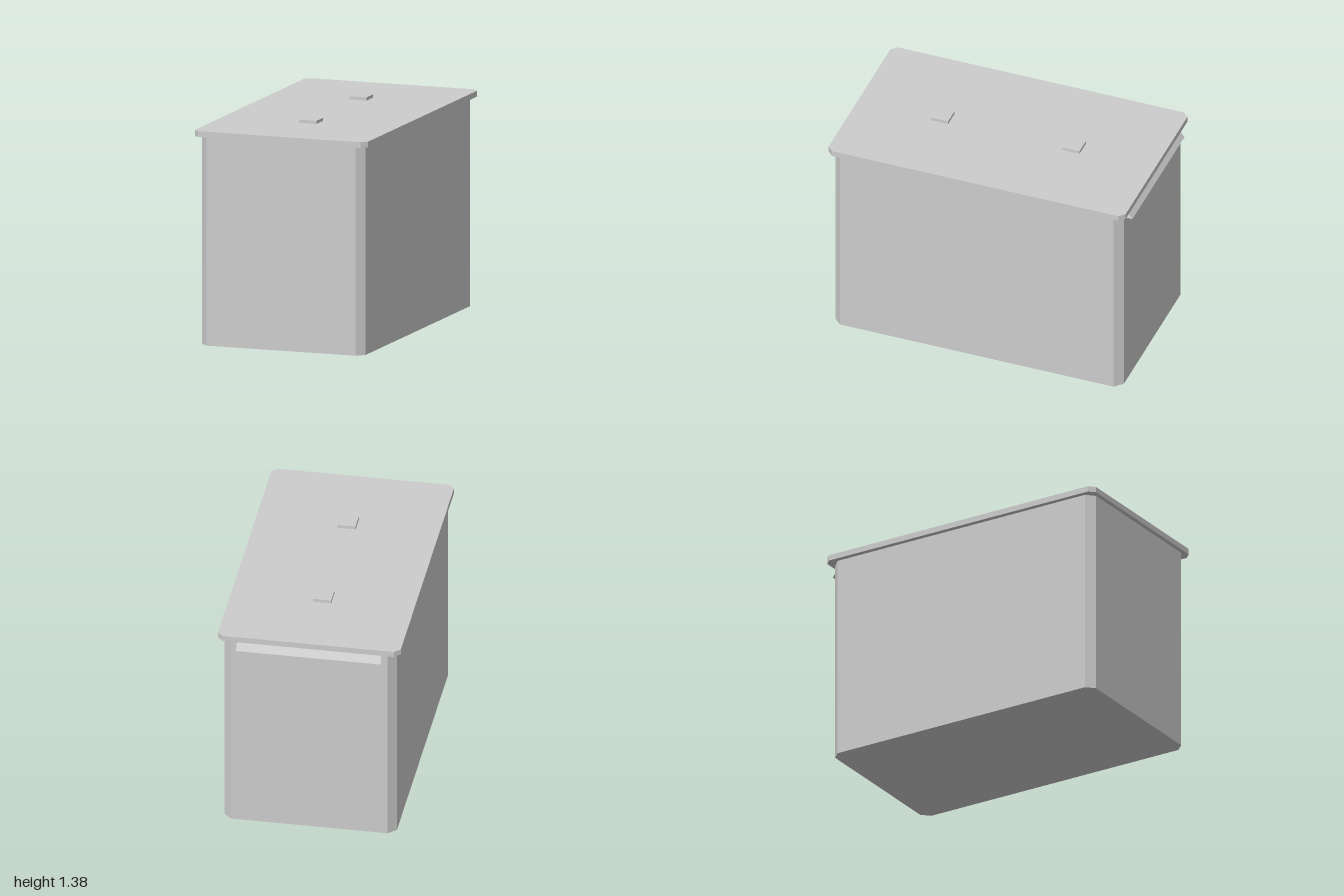
import * as THREE from 'three';

// Upright slab with a chamfered rectangular footprint
function chamferedSlab(halfX, zMin, zMax, chamfer, yMin, yMax) {
  const c = chamfer;
  const points = [
    [halfX - c, zMin], [halfX, zMin + c], [halfX, zMax - c], [halfX - c, zMax],
    [-halfX + c, zMax], [-halfX, zMax - c], [-halfX, zMin + c], [-halfX + c, zMin],
  ].map(([x, z]) => new THREE.Vector2(x, -z));
  const geometry = new THREE.ExtrudeGeometry(new THREE.Shape(points), {
    depth: yMax - yMin, bevelEnabled: false,
  });
  geometry.rotateX(-Math.PI / 2);
  geometry.translate(0, yMin, 0);
  return geometry;
}

// Folded sheet: a z/y profile swept across x, open at both ends
function foldedSheet(profile, halfX) {
  const positions = [];
  for (let i = 0; i < profile.length - 1; i++) {
    const [z0, y0] = profile[i];
    const [z1, y1] = profile[i + 1];
    const a = [halfX, y0, z0], b = [-halfX, y0, z0];
    const c = [-halfX, y1, z1], d = [halfX, y1, z1];
    positions.push(...a, ...d, ...c, ...a, ...c, ...b);
  }
  const geometry = new THREE.BufferGeometry();
  geometry.setAttribute('position', new THREE.Float32BufferAttribute(positions, 3));
  geometry.computeVertexNormals();
  return geometry;
}

export function createModel() {
  const group = new THREE.Group();
  const grey = new THREE.MeshStandardMaterial({ color: 0xcccccc, side: THREE.DoubleSide });
  grey.name = 'light grey';

  const add = (name, geometry) => {
    const mesh = new THREE.Mesh(geometry, grey);
    mesh.name = name;
    group.add(mesh);
    return mesh;
  };

  // Tall box and its overhanging lid
  add('body', chamferedSlab(0.548, -0.957, 0.972, 0.05, 0, 1.327));
  add('lid', chamferedSlab(0.58, -0.987, 1, 0.037, 1.327, 1.364));

  // Two square pads on the lid
  for (const z of [0.443, -0.436]) {
    add('lidPad', new THREE.BoxGeometry(0.115, 0.02, 0.115)).position.set(0, 1.374, z);
  }

  // Sloping lip under the back edge of the lid, folded back to the wall
  add('backLip', foldedSheet([[-0.957, 1.327], [-1, 1.27], [-0.957, 1.27]], 0.458));

  return group;
}
